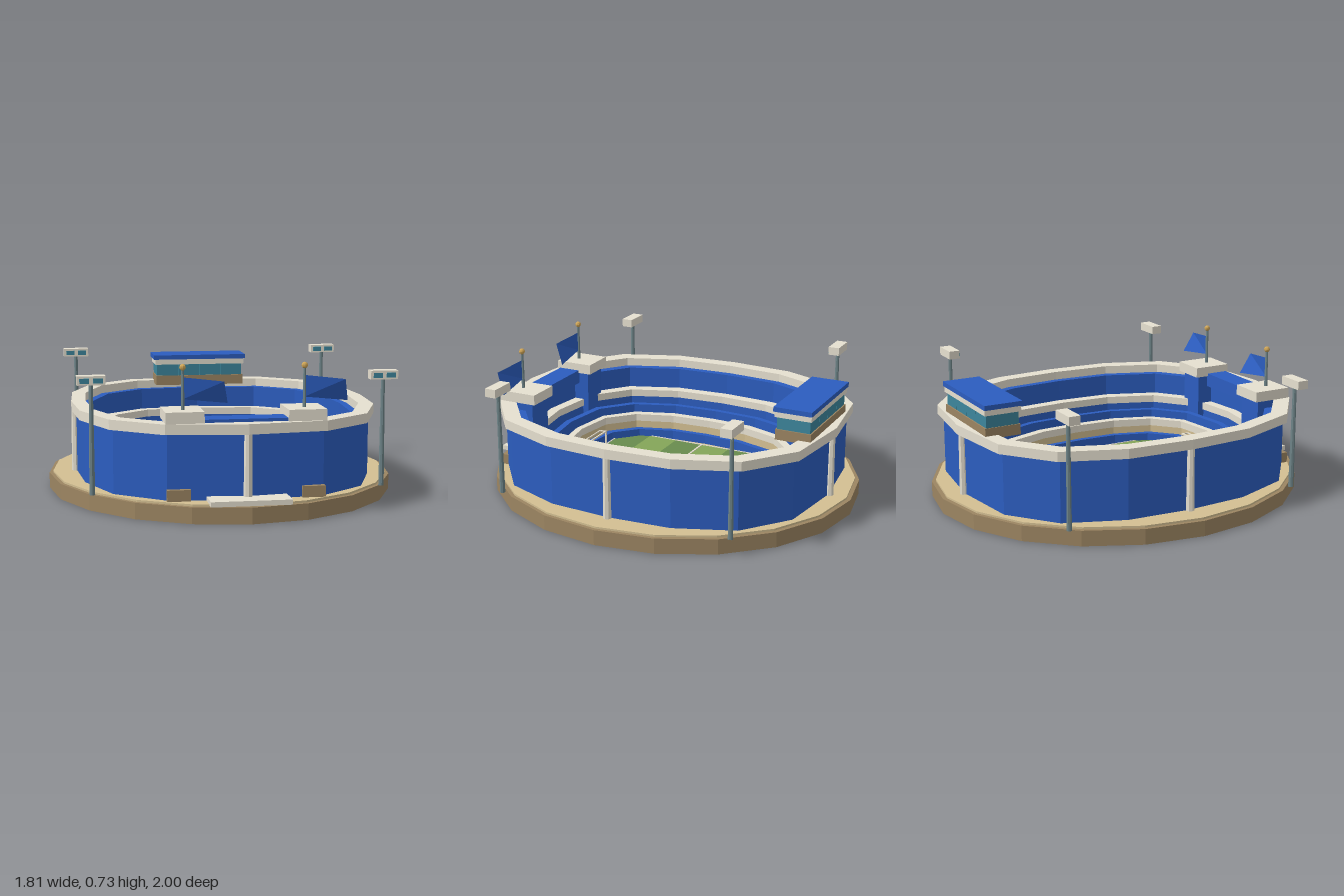
import * as THREE from 'three';

const mat = (color, side = THREE.FrontSide) =>
  new THREE.MeshStandardMaterial({ color, side, flatShading: true });
const BLUE = mat(0x2c5dbf), CONCRETE = mat(0xe6e0d0), TAN = mat(0xd3bf92), BROWN = mat(0x9c8562);
const LIGHT_GRASS = mat(0x84a658), DARK_GRASS = mat(0x688c4e), GLASS = mat(0x3d869c);
const STEEL = mat(0x6f8589), GOLD = mat(0xd0a658), CLOTH = mat(0x2c5dbf, THREE.DoubleSide);

const GROUND = 0.09;

// Squarish oval plan of 16 corners: one quarter as fractions of the half width and half length, mirrored
const QUARTER = [[1, 0], [0.97, 0.38], [0.815, 0.73], [0.5, 0.945], [0, 1]];
const PLAN = [
  ...QUARTER,
  ...QUARTER.slice(0, 4).reverse().map(([x, z]) => [-x, z]),
  ...QUARTER.slice(1).map(([x, z]) => [-x, -z]),
  ...QUARTER.slice(1, 4).reverse().map(([x, z]) => [x, -z]),
];

// Closed profile of [a, b, y] points (outer bottom, outer top, inner top, inner bottom) swept round the oval
function sweep(profile) {
  const pos = [];
  const at = ([a, b, y], [x, z]) => [a * x, y, b * z];
  PLAN.forEach((c0, i) => {
    const c1 = PLAN[(i + 1) % PLAN.length];
    profile.forEach((p, k) => {
      const q = profile[(k + 1) % profile.length];
      pos.push(...at(p, c0), ...at(q, c0), ...at(q, c1), ...at(p, c0), ...at(q, c1), ...at(p, c1));
    });
  });
  const g = new THREE.BufferGeometry();
  g.setAttribute('position', new THREE.Float32BufferAttribute(pos, 3));
  g.computeVertexNormals();
  return g;
}

export function createModel() {
  const model = new THREE.Group();
  model.name = 'stadium';

  function add(name, geometry, material, x = 0, y = 0, z = 0, parent = model) {
    const m = new THREE.Mesh(geometry, material);
    m.name = name;
    m.position.set(x, y, z);
    parent.add(m);
    return m;
  }
  // Box given by its min and max on each axis
  function box(name, material, x0, x1, y0, y1, z0, z1, parent = model) {
    return add(name, new THREE.BoxGeometry(x1 - x0, y1 - y0, z1 - z0), material,
      (x0 + x1) / 2, (y0 + y1) / 2, (z0 + z1) / 2, parent);
  }
  function pole(name, material, r0, r1, y0, y1, x, z, parent = model) {
    return add(name, new THREE.CylinderGeometry(r1, r0, y1 - y0, 8), material, x, (y0 + y1) / 2, z, parent);
  }
  function ring(name, material, outer, inner, y0, y1) {
    return add(name, sweep([[...outer, y0], [...outer, y1], [...inner, y1], [...inner, y0]]), material);
  }

  // Ground plinth and plaza
  add('plinth', new THREE.CylinderGeometry(1, 1, 0.08, 20), BROWN, 0, 0.04, 0).scale.x = 0.905;
  add('plaza', new THREE.CylinderGeometry(0.978, 0.978, 0.02, 20), TAN, 0, 0.08, 0).scale.x = 0.905;

  // Outer wall with a ledge inside its rim
  ring('outerWall', BLUE, [0.76, 0.88], [0.67, 0.785], 0.085, 0.415);
  ring('rim', CONCRETE, [0.785, 0.91], [0.71, 0.83], 0.41, 0.46);

  // Tiers of the seating bowl
  ring('upperTierWall', BLUE, [0.67, 0.785], [0.615, 0.735], 0.085, 0.26);
  ring('upperTierDeck', CONCRETE, [0.67, 0.785], [0.61, 0.73], 0.26, 0.3);
  ring('middleTier', BLUE, [0.55, 0.69], [0.52, 0.655], 0.085, 0.24);
  ring('lowerTierWall', TAN, [0.475, 0.62], [0.435, 0.59], 0.085, 0.17);
  ring('lowerTierDeck', CONCRETE, [0.475, 0.62], [0.43, 0.585], 0.17, 0.21);
  ring('pitchWall', BLUE, [0.405, 0.56], [0.375, 0.525], 0.085, 0.14);

  // Pitch with mown stripes and markings
  const pitch = new THREE.Group();
  pitch.name = 'pitch';
  model.add(pitch);
  const stripe = 0.98 / 6;
  for (let i = 0; i < 6; i++) {
    const z = -0.49 + i * stripe;
    box('grassStripe', i % 2 ? DARK_GRASS : LIGHT_GRASS, -0.33, 0.33, 0.085, 0.1, z, z + stripe, pitch);
  }
  box('halfwayLine', CONCRETE, -0.33, 0.33, 0.099, 0.103, -0.005, 0.005, pitch);
  const circle = add('centreCircle', new THREE.RingGeometry(0.08, 0.09, 8), CONCRETE, 0, 0.103, 0, pitch);
  circle.rotation.x = -Math.PI / 2;
  for (const s of [-1, 1]) {
    box('sideLine', CONCRETE, s * 0.329 - 0.003, s * 0.329 + 0.003, 0.099, 0.103, -0.49, 0.49, pitch);
    box('goalLine', CONCRETE, -0.33, 0.33, 0.099, 0.103, s * 0.488 - 0.003, s * 0.488 + 0.003, pitch);
    // Goal frame
    const goal = new THREE.Group();
    goal.name = 'goal';
    pitch.add(goal);
    for (const x of [-0.1, 0.1]) {
      box('goalPost', CONCRETE, x - 0.004, x + 0.004, 0.1, 0.18, s * 0.49 - 0.004, s * 0.49 + 0.004, goal);
      box('goalArm', CONCRETE, x - 0.003, x + 0.003, 0.172, 0.178, s * 0.508 - 0.018, s * 0.508 + 0.018, goal);
    }
    box('crossbar', CONCRETE, -0.104, 0.104, 0.172, 0.18, s * 0.49 - 0.004, s * 0.49 + 0.004, goal);
    box('goalBackBar', CONCRETE, -0.1, 0.1, 0.172, 0.178, s * 0.526 - 0.003, s * 0.526 + 0.003, goal);
  }

  // Columns on the outside of the wall
  for (const [x, z] of [[0.765, 0], [-0.765, 0], [0, 0.885], [0, -0.885]])
    pole('column', CONCRETE, 0.022, 0.019, GROUND, 0.42, x, z);

  // Front entrance: step, linking beam and paired towers with flags
  box('entranceStep', CONCRETE, -0.195, 0.195, 0.085, 0.11, 0.84, 0.99);
  box('entranceBeam', BLUE, -0.21, 0.21, 0.4, 0.475, 0.72, 0.84);
  for (const s of [-1, 1]) {
    const tower = new THREE.Group();
    tower.name = s > 0 ? 'leftTower' : 'rightTower';
    model.add(tower);
    const x = s * 0.296;
    box('towerShaft', BLUE, x - 0.075, x + 0.075, 0.085, 0.46, 0.67, 0.825, tower);
    box('towerCap', CONCRETE, x - 0.093, x + 0.093, 0.46, 0.515, 0.645, 0.855, tower);
    box('gateBlock', BROWN, s * 0.327 - 0.057, s * 0.327 + 0.057, 0.085, 0.145, 0.72, 0.865, tower);
    pole('flagPole', STEEL, 0.009, 0.007, 0.51, 0.71, x, 0.77, tower);
    add('poleBall', new THREE.SphereGeometry(0.016, 8, 6), GOLD, x, 0.718, 0.77, tower);
    // Flag twisted towards its free end
    const flag = new THREE.PlaneGeometry(1, 1);
    const corners = [[0, 0.67, 0.77], [0.195, 0.65, 0.8], [0, 0.565, 0.77], [0.22, 0.54, 0.75]];
    corners.forEach((c, i) => flag.attributes.position.setXYZ(i, x + c[0], c[1], c[2]));
    flag.computeVertexNormals();
    add('flag', flag, CLOTH, 0, 0, 0, tower);
  }

  // Press box over the back stand
  const press = new THREE.Group();
  press.name = 'pressBox';
  model.add(press);
  box('pressBase', BROWN, -0.255, 0.255, 0.445, 0.5, -0.865, -0.675, press);
  for (let i = 0; i < 4; i++)
    box('pressWindow', GLASS, -0.25 + i * 0.125, -0.127 + i * 0.125, 0.5, 0.565, -0.858, -0.682, press);
  box('pressFascia', CONCRETE, -0.26, 0.26, 0.565, 0.595, -0.868, -0.672, press);
  box('pressRoof', BLUE, -0.268, 0.268, 0.595, 0.62, -0.872, -0.668, press);

  // Floodlights
  for (const x of [-0.722, 0.722]) {
    for (const z of [-0.648, 0.645]) {
      const light = new THREE.Group();
      light.name = 'floodlight';
      model.add(light);
      pole('lightPole', STEEL, 0.014, 0.01, GROUND, 0.635, x, z, light);
      box('lightHead', CONCRETE, x - 0.069, x + 0.069, 0.628, 0.672, z - 0.03, z + 0.03, light);
      for (const s of [-1, 1])
        box('lamp', GLASS, x + s * 0.033 - 0.023, x + s * 0.033 + 0.023, 0.637, 0.661, z + 0.025, z + 0.036, light);
    }
  }
  return model;
}
